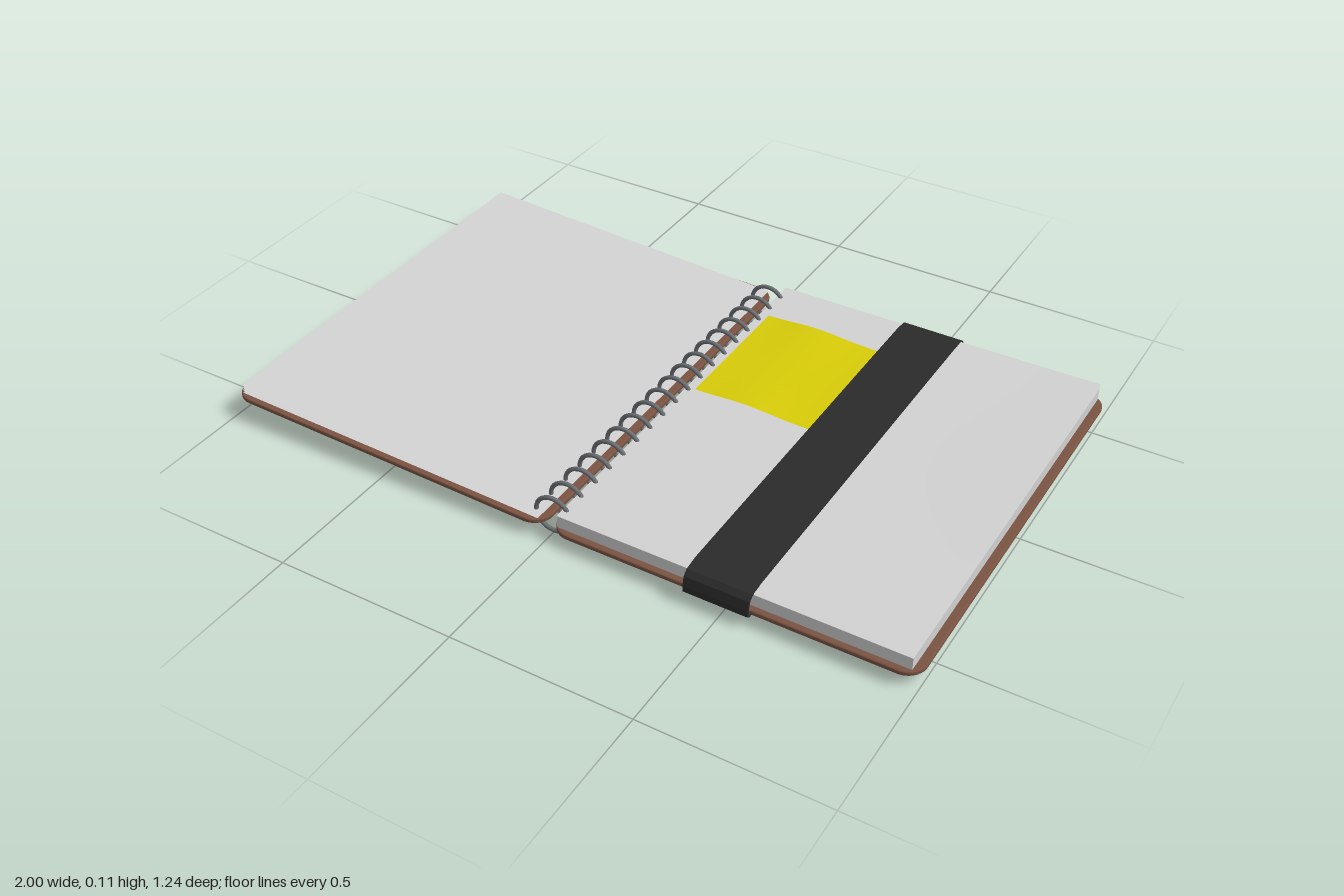
import * as THREE from 'three';

const mat = (name, color, side = THREE.FrontSide) => {
  const m = new THREE.MeshStandardMaterial({ color, side });
  m.name = name;
  return m;
};

export function createModel() {
  const leather = mat('brown cover', 0x7a5342);
  const paper = mat('paper', 0xd2d2d2, THREE.DoubleSide);
  const yellow = mat('yellow note', 0xd8cc08, THREE.DoubleSide);
  const black = mat('black elastic', 0x2b2b2b);
  const steel = mat('steel wire', 0x6c7074);

  const root = new THREE.Group();
  root.name = 'openNotebook';
  const add = (parent, name, geo, material) => {
    const m = new THREE.Mesh(geo, material);
    m.name = name;
    parent.add(m);
    return m;
  };

  // Rounded board lying flat, from x0 to x1, with softened rims
  const board = (x0, x1, halfZ, r, h, bevel) => {
    const s = new THREE.Shape();
    const a = x0 + bevel, b = x1 - bevel, d = halfZ - bevel;
    s.moveTo(a + r, -d);
    s.lineTo(b - r, -d).absarc(b - r, -d + r, r, -Math.PI / 2, 0);
    s.lineTo(b, d - r).absarc(b - r, d - r, r, 0, Math.PI / 2);
    s.lineTo(a + r, d).absarc(a + r, d - r, r, Math.PI / 2, Math.PI);
    s.lineTo(a, -d + r).absarc(a + r, -d + r, r, Math.PI, Math.PI * 1.5);
    const g = new THREE.ExtrudeGeometry(s, {
      depth: h - 2 * bevel, bevelEnabled: true, bevelSize: bevel,
      bevelThickness: bevel, bevelSegments: 3, curveSegments: 8,
    });
    return g.translate(0, 0, bevel).rotateX(-Math.PI / 2);
  };

  // Thin sheet whose height is a rule of position
  const sheet = (x0, x1, z0, z1, height) => {
    const g = new THREE.PlaneGeometry(x1 - x0, z1 - z0, 20, 20);
    g.rotateX(-Math.PI / 2).translate((x0 + x1) / 2, 0, (z0 + z1) / 2);
    const p = g.attributes.position;
    for (let i = 0; i < p.count; i++) p.setY(i, height(p.getX(i), p.getZ(i)));
    g.computeVertexNormals();
    return g;
  };

  // Right half: flat cover and thick page block
  add(root, 'rightCover', board(0.01, 1, 0.607, 0.05, 0.014, 0.004), leather).position.y = 0.03;
  const block = new THREE.BoxGeometry(0.95, 0.035, 1.18);
  add(root, 'rightPageBlock', block, paper).position.set(0.502, 0.0615, 0);

  // Loose, slightly wavy sheets on the right block
  for (let i = 0; i < 3; i++) {
    add(root, 'rightLooseSheet', sheet(0.03, 0.978, -0.592, 0.592, (x, z) =>
      0.081 + i * 0.002 + x * x * (0.002 + 0.004 * i) * (0.75 - 0.4 * z + 0.15 * Math.sin(5 * z + i))), paper);
  }

  // Left half: cover tilted up away from the spine
  const left = new THREE.Group();
  left.name = 'leftHalf';
  left.position.set(0, 0.033, 0);
  left.rotation.z = -0.027;
  root.add(left);
  add(left, 'leftCover', board(-1, -0.01, 0.607, 0.05, 0.014, 0.004), leather);

  // Turned pages fanning out over the left cover
  for (let i = 0; i < 5; i++) {
    add(left, 'leftSheet', sheet(-0.977, -0.03, -0.592, 0.592, (x, z) =>
      0.015 + 0.0012 * i - x * 0.0058 * i + x * x * 0.0007 * i * (Math.sin(5 * z + 0.4) - z * 2)), paper);
  }

  // Sticky note with a curled middle
  add(root, 'stickyNote', sheet(0.06, 0.46, -0.43, -0.02, (x, z) =>
    0.09 + 0.011 * Math.exp(-(((x - 0.21) / 0.1) ** 2)) * (0.8 + 0.3 * Math.sin(8 * z))), yellow);

  // Elastic strap: a strip section over the pages, tucked under both edges
  const half = [[0, 0.094], [0.4, 0.0945], [0.56, 0.094], [0.6, 0.088], [0.614, 0.075],
    [0.62, 0.05], [0.62, 0.032], [0.612, 0.0255], [0.2, 0.0255]];
  const inner = [[0.2, 0.0305], [0.61, 0.0305], [0.614, 0.05], [0.608, 0.074],
    [0.596, 0.083], [0.56, 0.089], [0.4, 0.0895], [0, 0.089]];
  const mirror = (pts) => pts.map(([z, y]) => [-z, y]).reverse();
  const outline = [...half, ...inner, ...mirror(inner).slice(1), ...mirror(half).slice(0, -1)];
  const strap = new THREE.ExtrudeGeometry(
    new THREE.Shape(outline.map(([z, y]) => new THREE.Vector2(z, y))),
    { depth: 0.175, bevelEnabled: false });
  strap.rotateY(Math.PI / 2).translate(0.4, 0, 0);
  add(root, 'elasticStrap', strap, black);

  // Row of binding rings along the spine
  const ring = new THREE.TorusGeometry(0.05, 0.006, 8, 28);
  for (let i = 0; i < 18; i++) {
    add(root, 'bindingRing', ring, steel).position.set(0, 0.056, 0.567 - i * 0.065);
  }

  return root;
}
